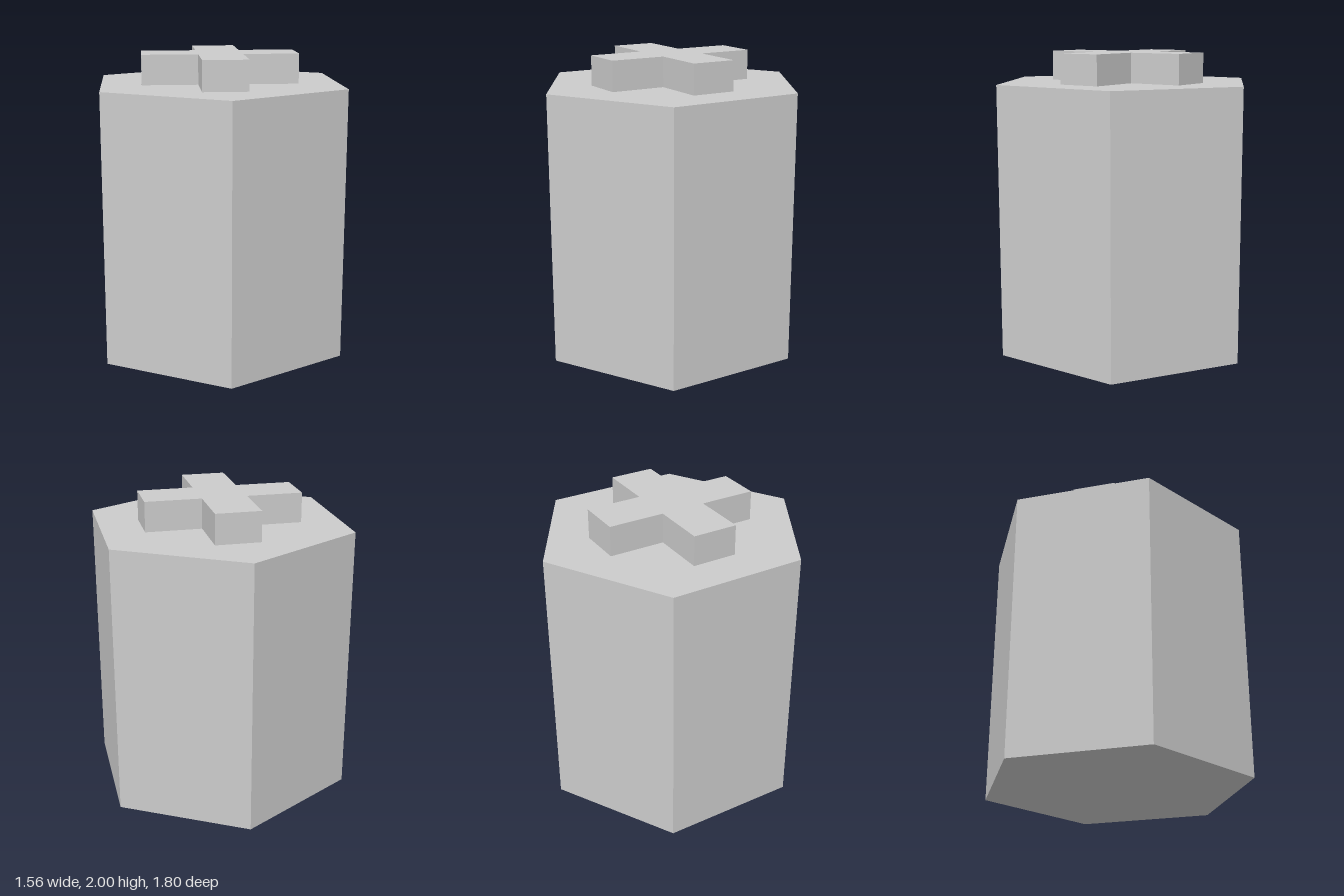
import * as THREE from 'three';

export function createModel() {
  const group = new THREE.Group();
  const material = new THREE.MeshStandardMaterial({ color: 0xcccccc, flatShading: true });
  const bodyHeight = 1.803;

  // Hexagonal body, with corners pointing to the front and back
  const body = new THREE.Mesh(new THREE.CylinderGeometry(0.902, 0.902, bodyHeight, 6), material);
  body.name = 'hexagonalBody';
  body.position.y = bodyHeight / 2;
  group.add(body);

  // Raised cross on the top: one corner trio turned around four arms
  const reach = 0.515, half = 0.147;
  const points = [];
  for (let i = 0; i < 4; i++) {
    for (const [x, y] of [[reach, -half], [reach, half], [half, half]]) {
      points.push(new THREE.Vector2(x, y).rotateAround(new THREE.Vector2(), i * Math.PI / 2));
    }
  }
  const crossGeometry = new THREE.ExtrudeGeometry(new THREE.Shape(points), {
    depth: 2 - bodyHeight, bevelEnabled: false,
  });
  crossGeometry.rotateX(-Math.PI / 2);
  const cross = new THREE.Mesh(crossGeometry, material);
  cross.name = 'raisedCross';
  cross.position.set(-0.002, bodyHeight, -0.002);
  group.add(cross);

  return group;
}
